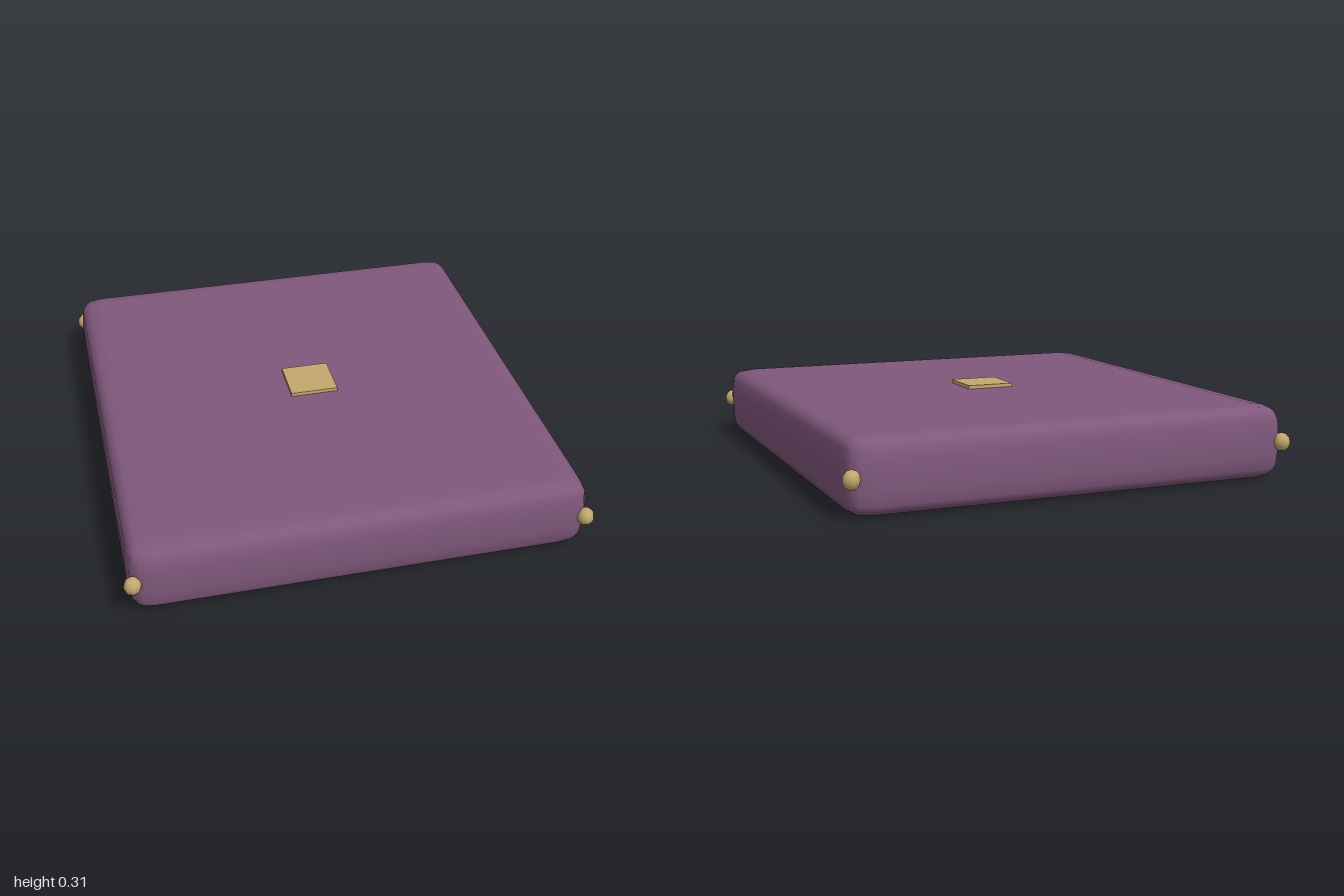
import * as THREE from 'three';
import { mergeVertices } from 'three/addons/utils/BufferGeometryUtils.js';

// Soft block: a box grid whose outer rings are bent into full, cushion-like edges.
function cushionGeometry(width, height, depth, radius) {
  const geometry = new THREE.BoxGeometry(2, 2, 2, 5, 5, 5);
  geometry.deleteAttribute('uv');
  geometry.deleteAttribute('normal');
  const merged = mergeVertices(geometry, 1e-4);
  const half = [width / 2, height / 2, depth / 2];
  const bend = [0, 0.6, 1]; // offset within the rounded edge for each grid ring
  const power = 2.8;
  const position = merged.attributes.position;
  for (let i = 0; i < position.count; i++) {
    const p = [position.getX(i), position.getY(i), position.getZ(i)];
    const offset = p.map((v) => bend[Math.round((Math.abs(v) - 0.2) / 0.4)]);
    const length = Math.pow(offset.reduce((sum, o) => sum + Math.pow(o, power), 0), 1 / power);
    const q = p.map((v, k) => Math.sign(v) * (half[k] - radius + (radius * offset[k]) / length));
    position.setXYZ(i, q[0], q[1], q[2]);
  }
  merged.computeVertexNormals();
  return merged;
}

export function createModel() {
  const model = new THREE.Group();
  const fabric = new THREE.MeshStandardMaterial({ color: 0x80587c });
  const gold = new THREE.MeshStandardMaterial({ color: 0xc4a96c });

  function add(name, geometry, material, x, y, z) {
    const mesh = new THREE.Mesh(geometry, material);
    mesh.name = name;
    mesh.position.set(x, y, z);
    model.add(mesh);
    return mesh;
  }

  // Flat cushion body
  add('cushion', cushionGeometry(1.82, 0.3, 1.945, 0.105), fabric, 0, 0.15, 0);

  // Square plate on top
  add('topPlate', new THREE.BoxGeometry(0.2, 0.03, 0.2), gold, 0, 0.3, 0);

  // Bead at each corner
  const bead = new THREE.SphereGeometry(0.035, 8, 6).scale(1, 1.08, 1);
  for (const x of [-1, 1]) {
    for (const z of [-1, 1]) {
      const side = `${z > 0 ? 'front' : 'back'}${x > 0 ? 'Left' : 'Right'}`;
      add(`${side}Bead`, bead, gold, x * 0.893, 0.153, z * 0.965);
    }
  }
  return model;
}
